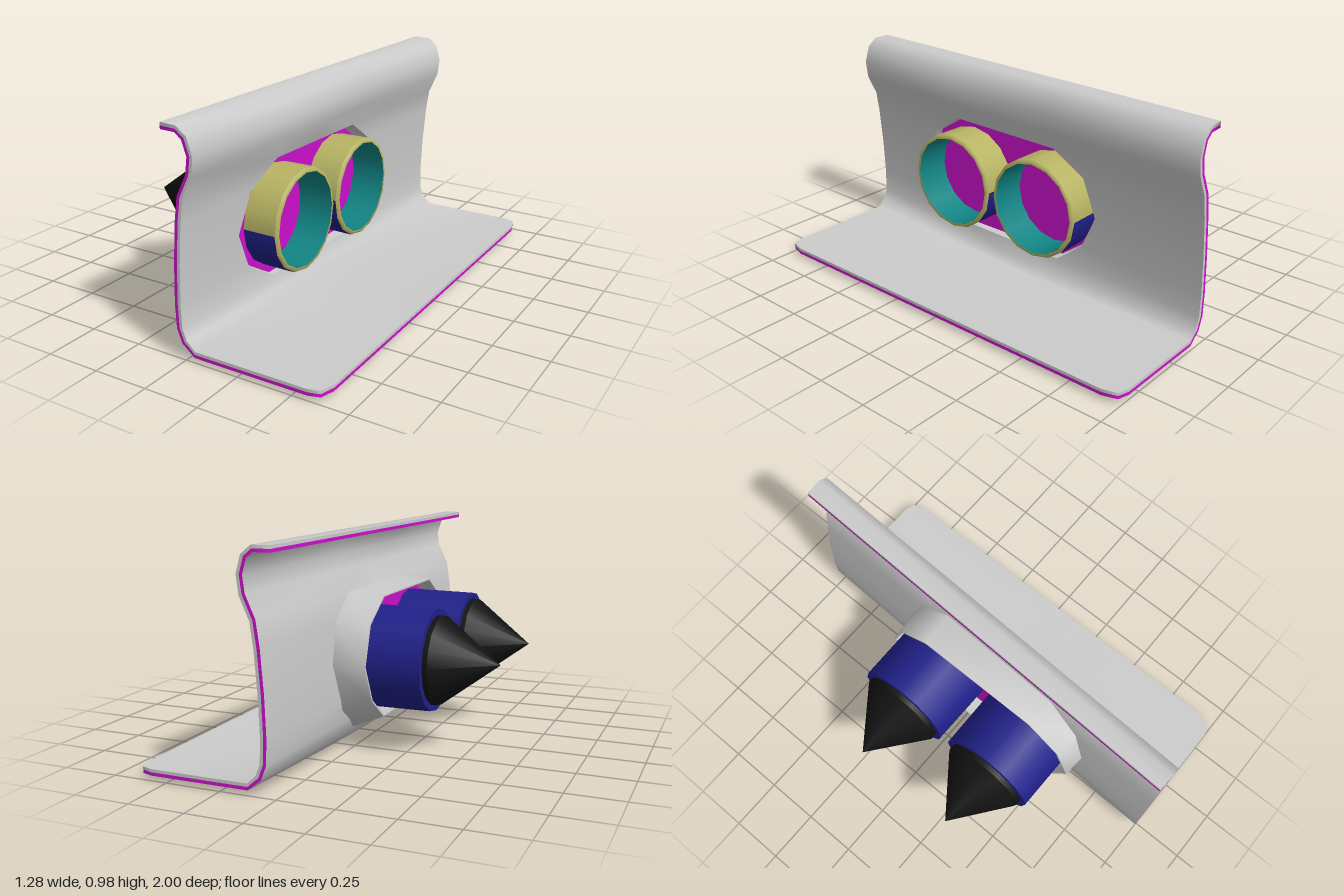
import * as THREE from 'three';

const paint = (color) => new THREE.MeshStandardMaterial({ color, side: THREE.DoubleSide });
const T = 0.014; // half thickness of the bent sheet

// Sheet rows from top lip down the wall to the tip of the foot:
// [x, y, half length, shear, opening +z side, opening -z side]
const ROWS = [
  [-0.035, 0.965, 0.995, 0.042],
  [0.04, 0.965, 1, 0.042],
  [0.078, 0.935, 1, 0.04],
  [0.1, 0.865, 1, 0.038],
  [0.09, 0.79, 1, 0.038],
  [0.045, 0.695, 1, 0.04, 0.39, -0.22],
  [0.03, 0.59, 1, 0.04, 0.56, -0.38],
  [0.016, 0.41, 1, 0.04, 0.63, -0.44],
  [0.01, 0.24, 1, 0.04, 0.56, -0.36],
  [0.014, 0.135, 1, 0.04, 0.39, -0.22],
  [0.035, 0.08, 1, 0.04],
  [0.085, 0.037, 1, 0.04],
  [0.57, 0.037, 1, 0],
  [0.62, 0.037, 0.985, 0],
  [0.64, 0.037, 0.92, 0],
];
const OPEN_TOP = 5, OPEN_END = 9, LAST = ROWS.length - 1, COLS = 5;

// Point of the sheet at row i, column j, moved off its middle by o
function sheetPoint(i, j, o) {
  const [x, y, half, shear, zl = 0.39, zr = -0.22] = ROWS[i];
  const z = [half, zl, 0.085, zr, -half][j];
  const a = ROWS[Math.max(i - 1, 0)], b = ROWS[Math.min(i + 1, LAST)];
  const n = new THREE.Vector2(a[1] - b[1], b[0] - a[0]).normalize();
  const sag = y < 0.1 ? 0.024 * (1 - Math.abs(z)) * Math.min(1, (0.64 - x) / 0.555) : 0;
  return new THREE.Vector3(x - shear * z + n.x * o, y - sag + n.y * o, z);
}

function buildGeometry(points, index) {
  const g = new THREE.BufferGeometry().setFromPoints(points);
  g.setIndex(index);
  g.computeVertexNormals();
  return g;
}

// One face of the sheet, with the opening left out
function sheetFace(o) {
  const points = [], index = [];
  for (let i = 0; i <= LAST; i++) for (let j = 0; j < COLS; j++) points.push(sheetPoint(i, j, o));
  for (let i = 0; i < LAST; i++) {
    for (let j = 0; j < COLS - 1; j++) {
      if (i >= OPEN_TOP && i < OPEN_END && (j === 1 || j === 2)) continue;
      const a = i * COLS + j, b = a + COLS;
      if (o > 0) index.push(a, b, b + 1, a, b + 1, a + 1);
      else index.push(a, b + 1, b, a, a + 1, b + 1);
    }
  }
  return buildGeometry(points, index);
}

// Joins closed loops of points into a skin
function loft(loops) {
  const n = loops[0].length, index = [];
  for (let k = 0; k < loops.length - 1; k++) {
    for (let i = 0; i < n; i++) {
      const a = k * n + i, b = k * n + (i + 1) % n;
      index.push(a, b, b + n, a, b + n, a + n);
    }
  }
  return buildGeometry(loops.flat(), index);
}

// Grid positions around the sheet's border and around the opening
function borderCells() {
  const cells = [];
  for (let i = 0; i <= LAST; i++) cells.push([i, 0]);
  for (let j = 1; j < COLS - 1; j++) cells.push([LAST, j]);
  for (let i = LAST; i >= 0; i--) cells.push([i, COLS - 1]);
  for (let j = COLS - 2; j > 0; j--) cells.push([0, j]);
  return cells;
}
function openingCells() {
  const cells = [];
  for (let i = OPEN_TOP; i <= OPEN_END; i++) cells.push([i, 1]);
  for (let i = OPEN_END; i >= OPEN_TOP; i--) cells.push([i, 3]);
  return cells;
}

// Lathe around the x axis; profile pairs are [radius, x]
function turned(profile, start = 0, length = Math.PI * 2, segments = 16) {
  const g = new THREE.LatheGeometry(profile.map(([r, x]) => new THREE.Vector2(r, x)), segments, start, length);
  return g.rotateZ(-Math.PI / 2);
}

export function createModel() {
  const grey = paint(0xcccccc), magenta = paint(0xcc10cc), blue = paint(0x20208a);
  const yellow = paint(0xb8b464), teal = paint(0x128484), black = paint(0x111111);
  const model = new THREE.Group();
  const add = (parent, name, geometry, material) => {
    const mesh = new THREE.Mesh(geometry, material);
    mesh.name = name;
    parent.add(mesh);
    return mesh;
  };

  // Bent sheet: two faces and a two-tone edge
  const panel = new THREE.Group();
  panel.name = 'bentPanel';
  model.add(panel);
  add(panel, 'panelFront', sheetFace(T), grey);
  add(panel, 'panelBack', sheetFace(-T), grey);
  const ring = (o) => borderCells().map(([i, j]) => sheetPoint(i, j, o));
  add(panel, 'panelEdge', loft([ring(T), ring(0)]), grey);
  add(panel, 'edgeTrim', loft([ring(0), ring(-T)]), magenta);

  // Collar standing out behind the opening, flared at its lower side
  const cells = openingCells();
  const outline = (scale, x) => cells.map(([i, j]) => {
    const p = sheetPoint(i, j, 0);
    return new THREE.Vector3(x, 0.412 + (p.y - 0.412) * scale, 0.09 + (p.z - 0.09) * scale);
  });
  const hole = cells.map(([i, j]) => sheetPoint(i, j, T));
  const rimIn = outline(0.96, -0.125), rimOut = outline(0.98, -0.125);
  const foot = cells.map(([i, j]) => {
    const p = sheetPoint(i, j, 0);
    if (i >= 8) p.y -= 0.055;
    return p;
  });
  const collar = new THREE.Group();
  collar.name = 'collar';
  model.add(collar);
  add(collar, 'collarLining', loft([hole, rimIn]), grey);
  add(collar, 'collarRim', loft([rimIn, rimOut]), grey);
  add(collar, 'collarWall', loft([rimOut, foot]), grey);

  // Plate closing the opening
  const shape = new THREE.Shape(outline(0.98, 0).map((p) => new THREE.Vector2(-p.z, p.y)));
  const plate = new THREE.ExtrudeGeometry(shape, { depth: 0.02, bevelEnabled: false });
  plate.rotateY(Math.PI / 2).translate(-0.035, 0, 0);
  add(model, 'backPlate', plate, magenta);

  // Two tubes with pointed rear ends
  for (const z of [0.335, -0.165]) {
    const tube = new THREE.Group();
    tube.name = z > 0 ? 'leftTube' : 'rightTube';
    tube.position.set(0, 0.411, z);
    model.add(tube);
    add(tube, 'rearBody', turned([[0.229, -0.357], [0.232, -0.03]]), blue);
    add(tube, 'rearShoulder', turned([[0.19, -0.357], [0.229, -0.357]]), blue);
    add(tube, 'pointedCone', turned([[0, -0.645], [0.2, -0.38]]), black);
    add(tube, 'coneBase', turned([[0.2, -0.38], [0.2, -0.355]]), black);
    const sleeve = [[0.233, -0.03], [0.235, 0.143]];
    add(tube, 'sleeveTop', turned(sleeve, Math.PI, Math.PI, 8), yellow);
    add(tube, 'sleeveBottom', turned(sleeve, 0, Math.PI, 8), blue);
    add(tube, 'mouthRim', turned([[0.235, 0.143], [0.228, 0.154], [0.216, 0.154]]), yellow);
    add(tube, 'innerWall', turned([[0.216, 0.154], [0.214, -0.03]]), teal);
  }
  return model;
}
